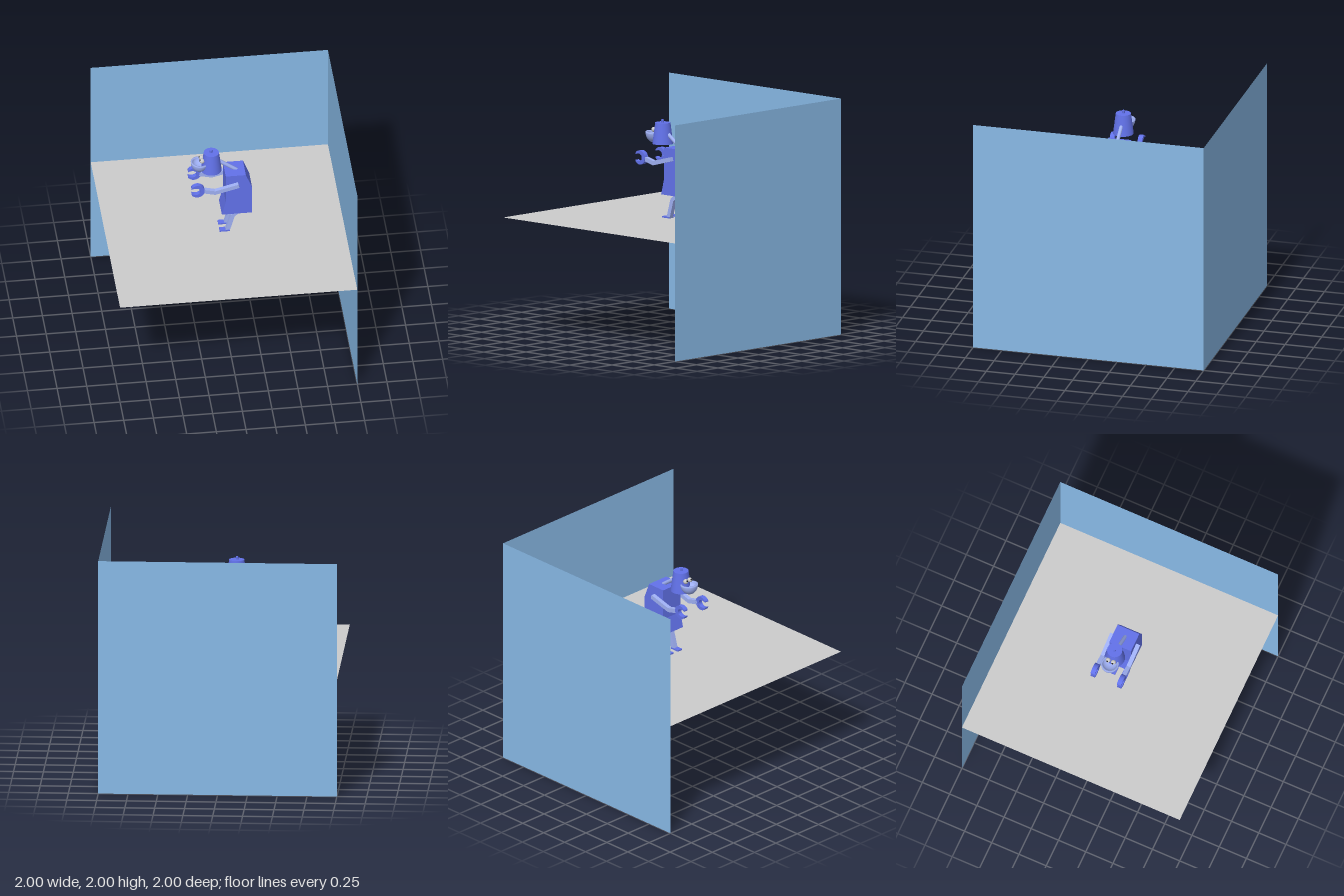
import * as THREE from 'three';

const mat = (color, side = THREE.FrontSide) => new THREE.MeshStandardMaterial({ color, side });
const blue = mat(0x6272ea);
const light = mat(0x9fb0f4);
const white = mat(0xf4f4f4);
const dark = mat(0x222222);
const wallMat = mat(0x88b9e6, THREE.DoubleSide);
const floorMat = mat(0xcccccc, THREE.DoubleSide);

function add(parent, name, geometry, material, x = 0, y = 0, z = 0) {
  const mesh = new THREE.Mesh(geometry, material);
  mesh.name = name;
  mesh.position.set(x, y, z);
  parent.add(mesh);
  return mesh;
}

// Extrude a side profile, centred on its own depth
function slab(shape, depth) {
  const g = new THREE.ExtrudeGeometry(shape, { depth, bevelEnabled: false, curveSegments: 16 });
  return g.translate(0, 0, -depth / 2);
}

const polygon = (pts) => new THREE.Shape(pts.map(([x, y]) => new THREE.Vector2(x, y)));

// Bent strip of constant width through three points
function limb([a, b, c], width, depth) {
  const [A, B, C] = [a, b, c].map(([x, y]) => new THREE.Vector2(x, y));
  const normal = (p, q) => {
    const d = q.clone().sub(p).normalize();
    return new THREE.Vector2(-d.y, d.x);
  };
  const n1 = normal(A, B), n2 = normal(B, C);
  const mid = n1.clone().add(n2).normalize();
  const h = width / 2;
  const offsets = [[A, n1, h], [B, mid, h / mid.dot(n1)], [C, n2, h]];
  const side = (s) => offsets.map(([p, n, k]) => p.clone().addScaledVector(n, s * k));
  return slab(new THREE.Shape([...side(1), ...side(-1).reverse()]), depth);
}

// Crescent claw opening towards -x
function clawShape() {
  const s = new THREE.Shape();
  const gap = 0.62;
  s.absarc(0, 0, 0.06, -Math.PI + gap, Math.PI - gap, false);
  s.lineTo(-0.05, 0.024);
  s.quadraticCurveTo(-0.01, 0.044, 0.018, 0.02);
  s.quadraticCurveTo(0.03, 0, 0.018, -0.02);
  s.quadraticCurveTo(-0.01, -0.044, -0.05, -0.024);
  s.closePath();
  return s;
}

function makeHead() {
  const head = new THREE.Group();
  head.name = 'head';
  const x = -0.107;
  add(head, 'bucketHead', new THREE.CylinderGeometry(0.064, 0.087, 0.18, 32), blue, x, 1.7, 0);
  add(head, 'topKnob', new THREE.CylinderGeometry(0.011, 0.011, 0.03, 16), blue, x - 0.003, 1.8, 0);

  // Upturned bowl-shaped jaw with a hollow top
  const profile = [];
  for (let i = 0; i <= 12; i++) {
    const t = (i / 12) * Math.PI / 2;
    profile.push(new THREE.Vector2(0.075 * Math.sin(t), -0.09 * Math.cos(t)));
  }
  for (let i = 0; i <= 8; i++) {
    const t = (1 - i / 8) * Math.PI / 2;
    profile.push(new THREE.Vector2(0.062 * Math.sin(t), -0.045 * Math.cos(t)));
  }
  const jaw = add(head, 'jaw', new THREE.LatheGeometry(profile, 32), light, -0.205, 1.7, 0);
  jaw.rotation.z = -0.08;

  // Eyes
  for (const s of [-1, 1]) {
    add(head, 'eye', new THREE.SphereGeometry(0.021, 20, 14), white, -0.188, 1.724, s * 0.024);
    add(head, 'pupil', new THREE.SphereGeometry(0.008, 12, 8), dark, -0.204, 1.732, s * 0.024);
  }
  return head;
}

export function createModel() {
  const model = new THREE.Group();
  model.name = 'robotInRoom';

  // Two upright panels, with the floor crossing them at half height
  add(model, 'backWall', new THREE.PlaneGeometry(2, 2), wallMat, 0, 1, -1);
  add(model, 'sideWall', new THREE.PlaneGeometry(2, 2), wallMat, 1, 1, 0).rotation.y = -Math.PI / 2;
  add(model, 'floor', new THREE.PlaneGeometry(2, 2), floorMat, 0, 1, 0).rotation.x = -Math.PI / 2;

  const robot = new THREE.Group();
  robot.name = 'robot';
  model.add(robot);

  // Torso
  const torso = polygon([[-0.03, 1.2], [0.225, 1.2], [0.225, 1.465], [0.172, 1.6], [0.003, 1.6], [0.003, 1.33]]);
  add(robot, 'torso', slab(torso, 0.2), blue);

  // Neck
  const neckPath = new THREE.CatmullRomCurve3([
    new THREE.Vector3(0.11, 1.585, 0), new THREE.Vector3(0.04, 1.636, 0), new THREE.Vector3(-0.07, 1.715, 0),
  ]);
  add(robot, 'neck', new THREE.TubeGeometry(neckPath, 12, 0.016, 12), light);

  robot.add(makeHead());

  // Arms with claws, legs with feet
  for (const s of [-1, 1]) {
    const arm = limb([[0.11, 1.515], [-0.09, 1.462], [-0.195, 1.488]], 0.036, 0.036);
    add(robot, 'arm', arm, light, 0, 0, s * 0.119);
    add(robot, 'claw', slab(clawShape(), 0.04), blue, -0.24, 1.494, s * 0.121);

    const leg = limb([[0.125, 1.215], [0.065, 1.155], [0.022, 1.005]], 0.036, 0.04);
    add(robot, 'leg', leg, light, 0, 0, s * 0.05);
    add(robot, 'foot', new THREE.BoxGeometry(0.085, 0.022, 0.05), blue, -0.003, 1.001, s * 0.05);
  }
  return model;
}
